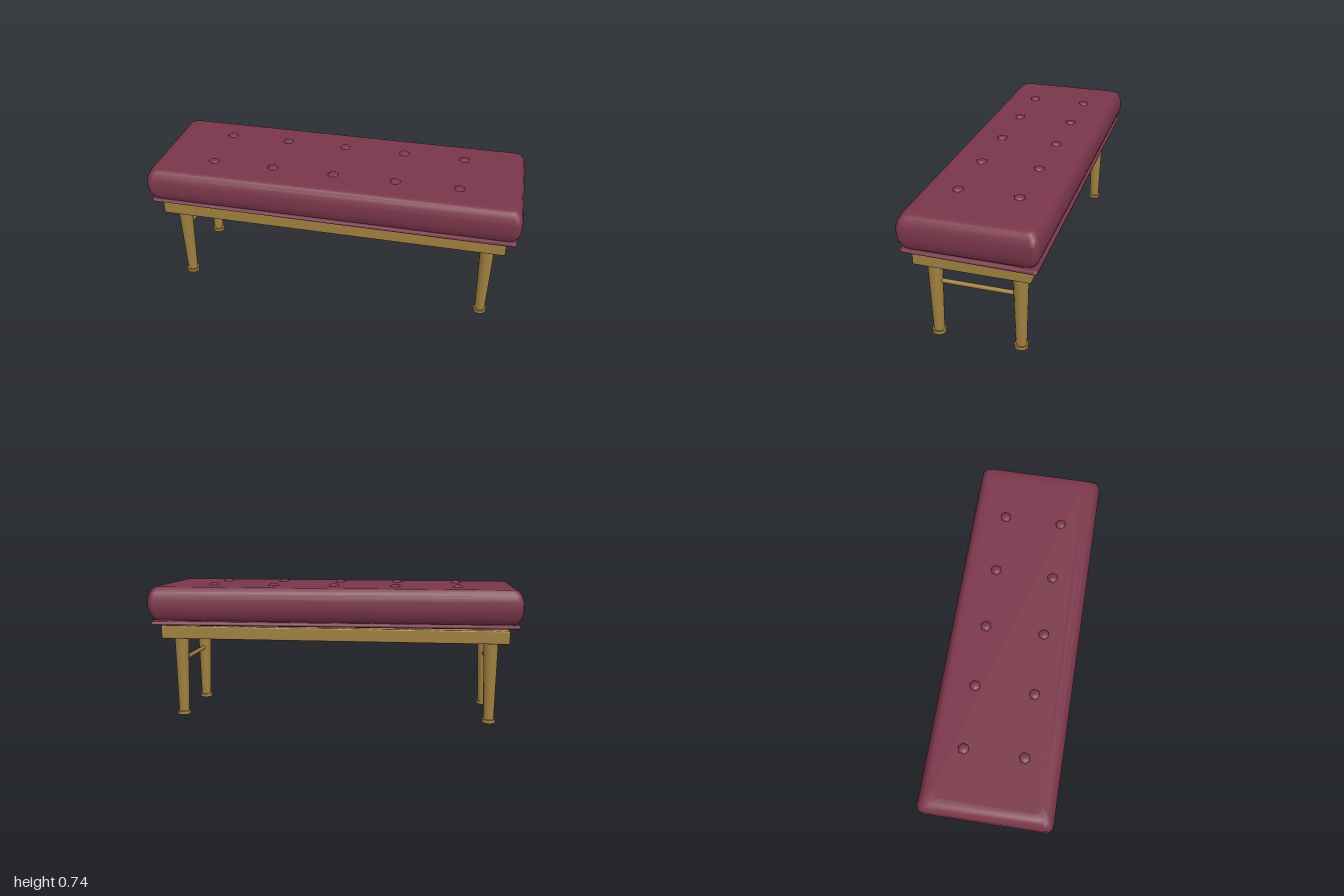
import * as THREE from 'three';
import { RoundedBoxGeometry } from 'three/addons/geometries/RoundedBoxGeometry.js';

// Closed solid from stacked rounded rectangles; each ring is [y, inset]
function stackedSlab(halfX, halfZ, corner, rings) {
  const pos = [], index = [], steps = 3, n = 4 * (steps + 1);
  for (const [y, inset] of rings) {
    for (let q = 0; q < 4; q++) {
      const sx = q === 0 || q === 3 ? 1 : -1, sz = q < 2 ? 1 : -1;
      for (let i = 0; i <= steps; i++) {
        const a = (q + i / steps) * Math.PI / 2;
        pos.push(sx * (halfX - inset - corner) + corner * Math.cos(a), y,
          sz * (halfZ - inset - corner) + corner * Math.sin(a));
      }
    }
  }
  for (let r = 0; r < rings.length - 1; r++) {
    for (let i = 0; i < n; i++) {
      const a = r * n + i, b = r * n + (i + 1) % n;
      index.push(a, a + n, b, b, a + n, b + n);
    }
  }
  // Caps
  const top = (rings.length - 1) * n;
  for (let i = 1; i < n - 1; i++) {
    index.push(0, i, i + 1, top, top + i + 1, top + i);
  }
  const g = new THREE.BufferGeometry();
  g.setAttribute('position', new THREE.Float32BufferAttribute(pos, 3));
  g.setIndex(index);
  g.computeVertexNormals();
  return g;
}

export function createModel() {
  const group = new THREE.Group();
  const fabric = new THREE.MeshStandardMaterial({ color: 0x7a364a });
  fabric.name = 'burgundy fabric';
  const wood = new THREE.MeshStandardMaterial({ color: 0xa08040 });
  wood.name = 'oak wood';

  const add = (name, geometry, material, x = 0, y = 0, z = 0) => {
    const mesh = new THREE.Mesh(geometry, material);
    mesh.name = name;
    mesh.position.set(x, y, z);
    group.add(mesh);
    return mesh;
  };

  // Padded seat
  add('cushion', stackedSlab(1, 0.343, 0.035, [
    [0.54, 0.035], [0.55, 0.022], [0.57, 0.011], [0.605, 0], [0.66, 0],
    [0.692, 0.01], [0.714, 0.024], [0.723, 0.04], [0.7235, 0.07],
  ]), fabric);

  // Piping strip under the cushion, sitting slightly askew
  const piping = stackedSlab(0.985, 0.333, 0.015, [
    [-0.01, 0.008], [-0.006, 0.002], [0.003, 0], [0.012, 0.01],
  ]);
  const p = piping.attributes.position;
  for (let i = 0; i < p.count; i++) {
    p.setY(i, p.getY(i) - 0.003 * p.getX(i) + 0.012 * p.getZ(i));
  }
  piping.computeVertexNormals();
  add('piping', piping, fabric, 0, 0.532, 0);

  // Tufting buttons, two rows of five
  const buttonGeometry = new THREE.SphereGeometry(1, 6, 5);
  for (let i = -2; i <= 2; i++) {
    for (const s of [-1, 1]) {
      const button = add('button', buttonGeometry, fabric, i * 0.334, 0.722, s * 0.155 - 0.002);
      button.scale.set(0.031, 0.016, 0.031);
      button.rotation.y = 0.3;
    }
  }

  // Seat frame
  add('frame', new RoundedBoxGeometry(1.875, 0.071, 0.584, 2, 0.007), wood, 0, 0.4725, 0);

  // Tapered legs with foot caps, and a rail joining each end pair
  const legGeometry = new THREE.CylinderGeometry(0.039, 0.028, 0.415, 16);
  const footGeometry = new THREE.CylinderGeometry(0.036, 0.036, 0.019, 16);
  const railGeometry = new THREE.CylinderGeometry(0.012, 0.012, 0.38, 8);
  for (const sx of [-1, 1]) {
    for (const sz of [-1, 1]) {
      add('leg', legGeometry, wood, sx * 0.846, 0.2255, sz * 0.217);
      add('foot', footGeometry, wood, sx * 0.846, 0.0095, sz * 0.217);
    }
    add('sideRail', railGeometry, wood, sx * 0.846, 0.31, 0).rotation.x = Math.PI / 2;
  }
  return group;
}
